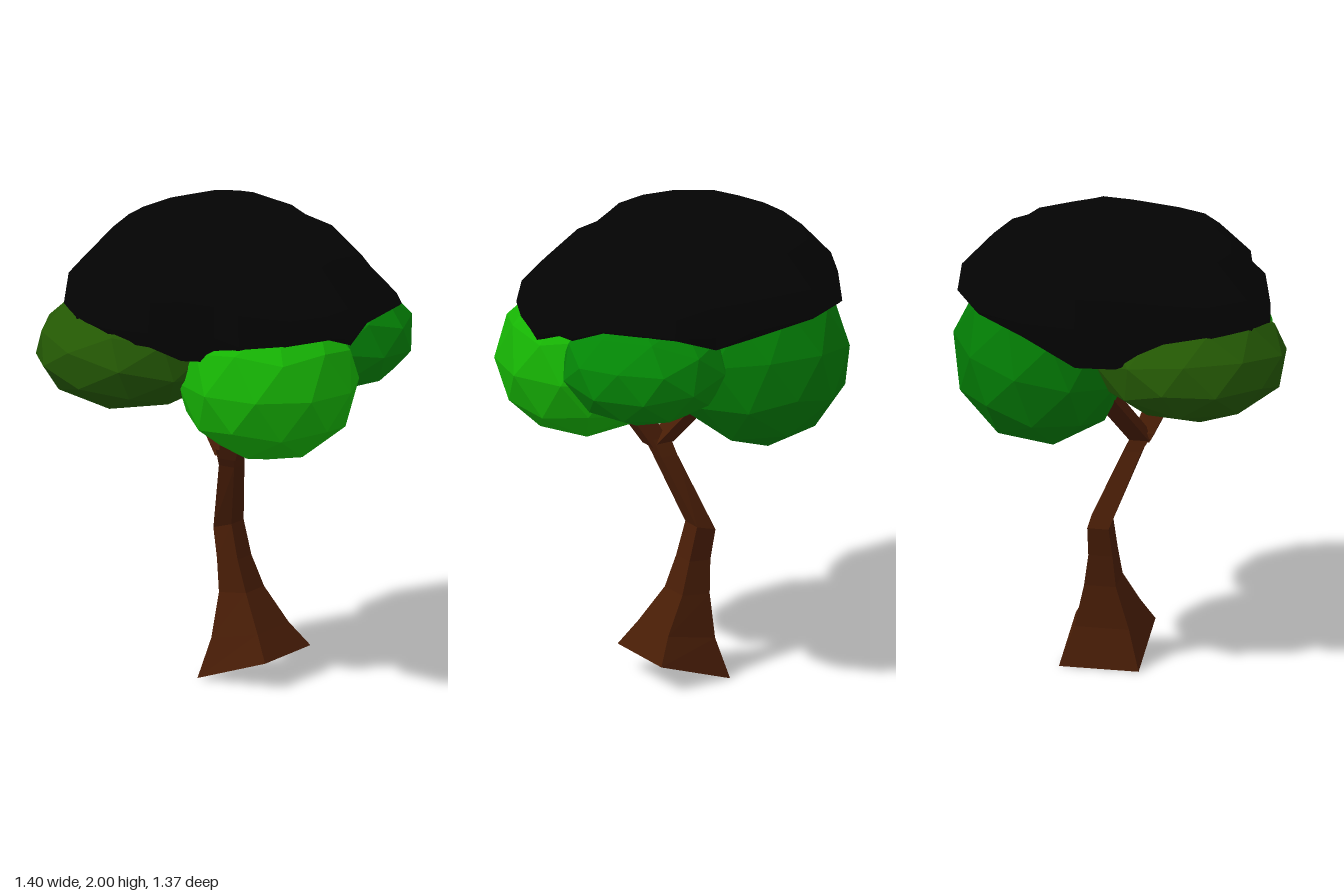
import * as THREE from 'three';

const material = (name, color) => {
  const m = new THREE.MeshStandardMaterial({ color, flatShading: true });
  m.name = name;
  return m;
};

// Skin a stack of equal counter-clockwise rings (seen from above), closed at both ends.
function loft(rings) {
  const n = rings[0].length;
  const pos = [];
  const tri = (...pts) => pts.forEach((p) => pos.push(p.x, p.y, p.z));
  const middle = (ring) => ring.reduce((s, p) => s.add(p), new THREE.Vector3()).divideScalar(n);
  const low = middle(rings[0]);
  const high = middle(rings[rings.length - 1]);
  for (let i = 0; i < n; i++) {
    const j = (i + 1) % n;
    for (let k = 0; k < rings.length - 1; k++) {
      const [a, b] = [rings[k], rings[k + 1]];
      tri(a[i], a[j], b[j]);
      tri(a[i], b[j], b[i]);
    }
    tri(low, rings[0][j], rings[0][i]);
    tri(high, rings[rings.length - 1][i], rings[rings.length - 1][j]);
  }
  const g = new THREE.BufferGeometry();
  g.setAttribute('position', new THREE.Float32BufferAttribute(pos, 3));
  g.computeVertexNormals();
  return g;
}

// Square ring: centre, half width, and slope towards +x.
function squareRing([x, y, z, half, slope = 0]) {
  return [[-1, 1], [1, 1], [1, -1], [-1, -1]].map(([u, v]) => new THREE.Vector3(
    x + half * (0.98 * u - 0.16 * v),
    y + half * slope * u,
    z + half * (0.16 * u + 0.98 * v)));
}

export function createModel() {
  const tree = new THREE.Group();
  tree.name = 'tree';
  const add = (name, geometry, mat) => {
    const mesh = new THREE.Mesh(geometry, mat);
    mesh.name = name;
    tree.add(mesh);
    return mesh;
  };

  const bark = material('bark brown', 0x481d06);
  const black = material('canopy black', 0x030303);
  const olive = material('olive green', 0x245804);
  const bright = material('bright green', 0x16b404);
  const mid = material('mid green', 0x048606);
  const deep = material('deep green', 0x037c05);

  // Crooked trunk with a flared, slanted foot
  add('trunk', loft([
    [0.067, 0.056, -0.067, 0.168, 0.34],
    [0.05, 0.19, -0.065, 0.115, 0.22],
    [0.005, 0.355, -0.08, 0.067, 0.12],
    [-0.028, 0.49, -0.08, 0.051, 0.1],
    [-0.058, 0.625, -0.09, 0.045, 0.3],
    [0.018, 0.92, 0.045, 0.038],
    [0.03, 1.0, 0.09, 0.042],
  ].map(squareRing)), bark);

  // Two main limbs from the fork, and two thin branches between the clumps
  [
    ['backLimb', [0.02, 0.97, 0.075, 0.042], [-0.2, 1.24, -0.07, 0.045], [-0.27, 1.4, -0.16, 0.03]],
    ['frontLimb', [0.035, 0.96, 0.075, 0.042], [0.09, 1.09, 0.14, 0.05], [0.16, 1.28, 0.18, 0.03]],
    ['sideBranch', [0.22, 1.15, 0.04, 0.03], [0.28, 1.24, -0.11, 0.026], [0.32, 1.38, -0.15, 0.02]],
    ['innerBranch', [-0.1, 1.2, -0.2, 0.03], [0.13, 1.235, -0.13, 0.026], [0.26, 1.36, -0.16, 0.02]],
  ].forEach(([name, ...rings]) => add(name, loft(rings.map(squareRing)), bark));

  // Faceted leaf clumps
  [
    ['oliveClump', olive, [-0.32, 1.45, 0.295], [0.4, 0.25, 0.405], 0.3],
    ['brightClump', bright, [0.275, 1.36, 0.245], [0.38, 0.335, 0.365], 0.9],
    ['midClump', mid, [0.35, 1.46, -0.205], [0.35, 0.24, 0.35], 0.5],
    ['deepClump', deep, [-0.175, 1.415, -0.32], [0.385, 0.39, 0.375], 1.3],
  ].forEach(([name, mat, at, radii, turn]) => {
    const g = new THREE.IcosahedronGeometry(1, 1);
    g.rotateZ(turn * 0.6).rotateY(turn).scale(...radii);
    g.computeVertexNormals();
    add(name, g, mat).position.set(...at);
  });

  // Black canopy: uneven rim (x, z, rim height), drawn in towards a flat crown
  const rim = [
    [-0.6, 0.2, 1.57], [-0.58, 0.39, 1.58], [-0.45, 0.55, 1.57], [-0.28, 0.62, 1.56],
    [-0.1, 0.61, 1.55], [0.02, 0.55, 1.49], [0.15, 0.51, 1.49], [0.27, 0.53, 1.54],
    [0.48, 0.44, 1.58], [0.58, 0.3, 1.58], [0.62, 0.17, 1.53], [0.63, 0.04, 1.59],
    [0.7, -0.14, 1.63], [0.6, -0.22, 1.66], [0.4, -0.45, 1.64], [0.22, -0.5, 1.57],
    [0.1, -0.58, 1.61], [-0.17, -0.67, 1.66], [-0.4, -0.58, 1.65], [-0.53, -0.39, 1.6],
    [-0.59, -0.17, 1.49], [-0.6, 0, 1.49],
  ];
  const crown = [-0.07, -0.06];
  const layer = (scale, y) => rim.map(([x, z, h]) => {
    // the +x and +z sides sit a little lower
    const drop = (0.15 * Math.max(0, x) + 0.08 * Math.max(0, z)) * scale;
    return new THREE.Vector3(
      crown[0] + (x - crown[0]) * scale,
      y === null ? h : Math.max(h + 0.01, y - drop),
      crown[1] + (z - crown[1]) * scale);
  });
  add('canopy', loft([
    layer(0.8, null), layer(0.985, null), layer(1, 1.66), layer(0.97, 1.785),
    layer(0.76, 1.912), layer(0.38, 1.985), layer(0.12, 2.0),
  ]), black);

  return tree;
}
